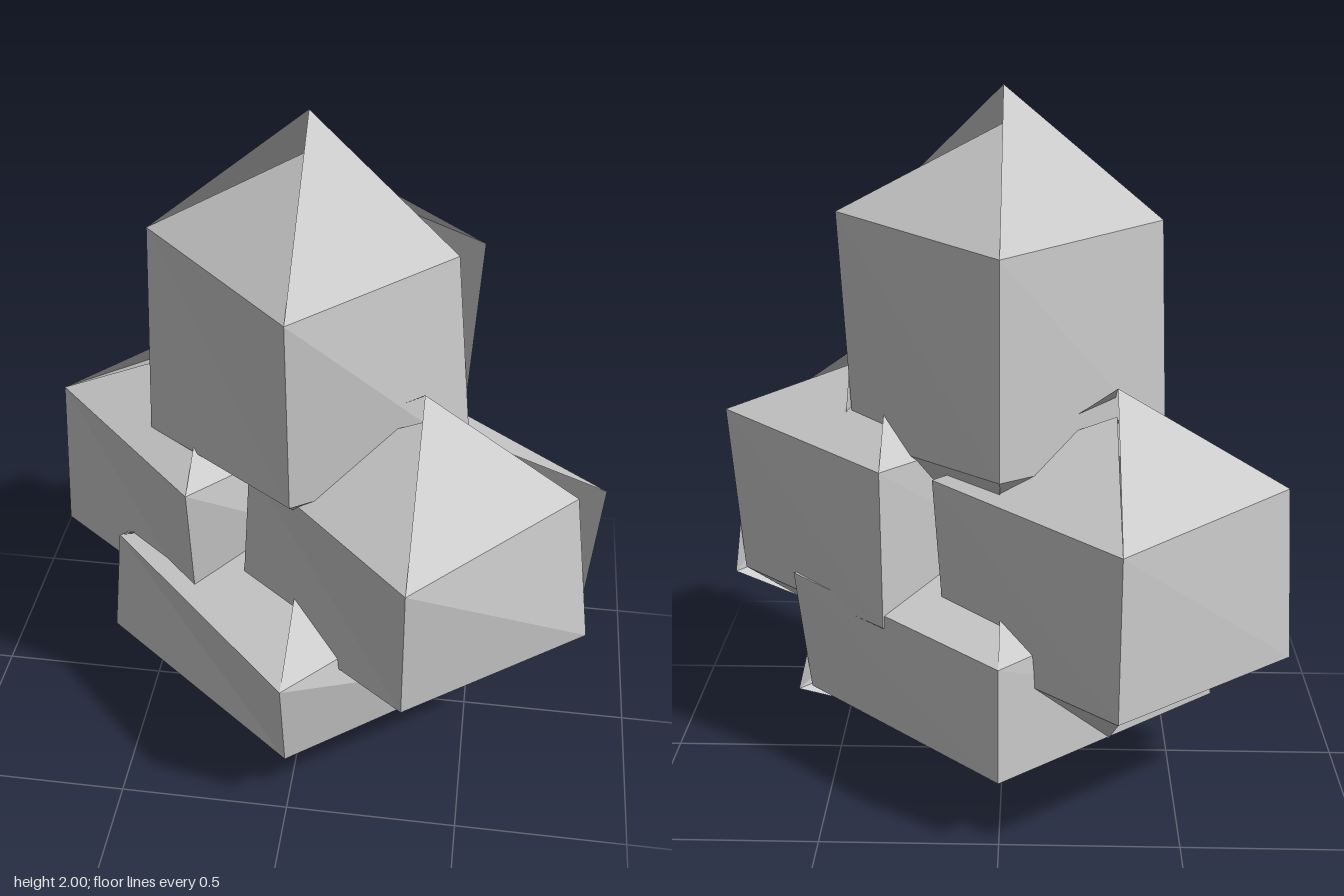
import * as THREE from 'three';

// One faceted blob: two four-cornered rings with an open seam on +x, and uneven poles.
// Going round: +x, -z, -x, +z, +x. Each ring entry is [distance from axis, height].
const DIRS = [[1, 0], [0, -1], [-1, 0], [0, 1], [1, 0]];
const UPPER = [[0.456, 0.342], [0.395, 0.30], [0.432, 0.323], [0.432, 0.32], [0.392, 0.30]];
const LOWER = [[0.427, -0.31], [0.398, -0.29], [0.461, -0.326], [0.38, -0.273], [0.457, -0.33]];
const TOP_POLES = [0.58, 0.68, 0.57, 0.68];
const BOTTOM_POLES = [-0.673, -0.63, -0.621, -0.603];

function createBlobGeometry() {
  const positions = [];
  const corner = (ring, i) => [DIRS[i][0] * ring[i][0], ring[i][1], DIRS[i][1] * ring[i][0]];
  const face = (...points) => points.forEach((p) => positions.push(...p));

  for (let i = 0; i < 4; i++) {
    const b = corner(UPPER, i), a = corner(UPPER, i + 1);
    const c = corner(LOWER, i), d = corner(LOWER, i + 1);
    face([0, TOP_POLES[i], 0], b, a);
    face(b, d, a);
    face(b, c, d);
    face(c, [0, BOTTOM_POLES[i], 0], d);
  }

  const geometry = new THREE.BufferGeometry();
  geometry.setAttribute('position', new THREE.Float32BufferAttribute(positions, 3));
  geometry.computeVertexNormals();
  return geometry;
}

export function createModel() {
  const group = new THREE.Group();
  group.name = 'blobStack';

  const grey = new THREE.MeshStandardMaterial({
    color: 0xcccccc, flatShading: true, side: THREE.DoubleSide,
  });
  grey.name = 'grey';

  const geometry = createBlobGeometry();

  // name, position, width scale, height scale
  const blobs = [
    ['topBlob', [0, 1.32, 0], 1, 1],
    ['leftBlob', [0.33, 0.766, 0.177], 1.095, 0.787],
    ['rightBlob', [-0.31, 0.70, -0.22], 1.095, 0.787],
    ['baseBlob', [0, 0.388, 0], 1.36, 0.577],
  ];
  for (const [name, position, width, height] of blobs) {
    const mesh = new THREE.Mesh(geometry, grey);
    mesh.name = name;
    mesh.position.set(...position);
    mesh.scale.set(width, height, width);
    group.add(mesh);
  }
  return group;
}
